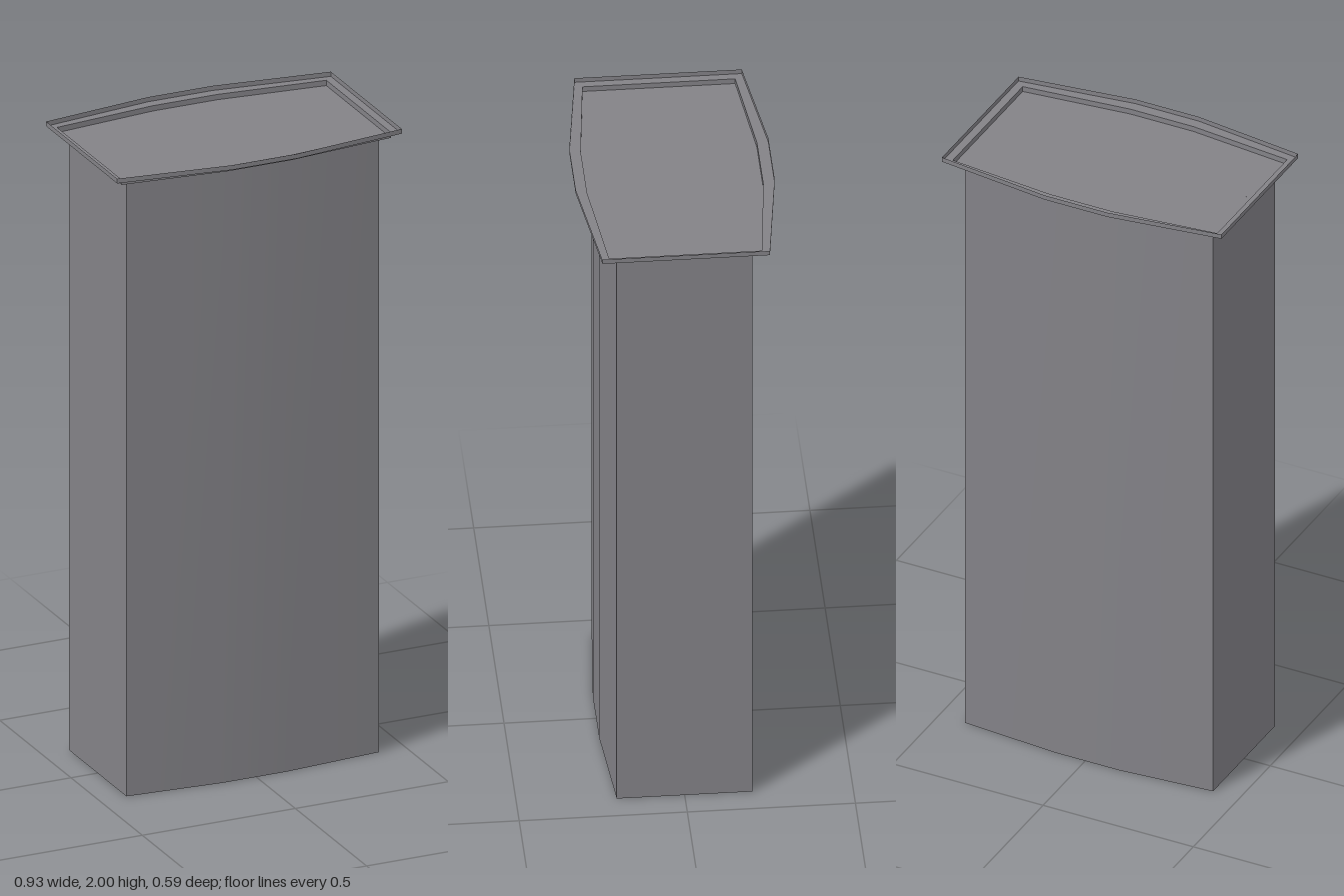
import * as THREE from 'three';
import { toCreasedNormals } from 'three/addons/utils/BufferGeometryUtils.js';

// Bowed outline: half width, half depth at the corners, half depth in the middle
const BODY = [0.413, 0.202, 0.226];
const STEP = [0.44, 0.227, 0.262];
const RIM = [0.465, 0.249, 0.296];

// Eight corners, anticlockwise when seen from above
function ring([w, d, m], y) {
  return [
    [w, d], [w, -d], [0.1, -m], [-0.11, -m],
    [-w, -d], [-w, d], [-0.11, m], [0.1, m],
  ].map(([x, z]) => new THREE.Vector3(x, y, z));
}

// Joins successive rings with quads facing outwards
function loft(rings) {
  const points = [];
  for (let r = 0; r < rings.length - 1; r++) {
    const a = rings[r], b = rings[r + 1];
    for (let i = 0; i < a.length; i++) {
      const j = (i + 1) % a.length;
      points.push(a[i], a[j], b[j], a[i], b[j], b[i]);
    }
  }
  return toCreasedNormals(new THREE.BufferGeometry().setFromPoints(points), 0.5);
}

// Flat polygon fan
function cap(points) {
  const tris = [];
  for (let i = 1; i < points.length - 1; i++) tris.push(points[0], points[i], points[i + 1]);
  const geometry = new THREE.BufferGeometry().setFromPoints(tris);
  geometry.computeVertexNormals();
  return geometry;
}

export function createModel() {
  const group = new THREE.Group();
  const stone = new THREE.MeshStandardMaterial({ color: 0x838287, side: THREE.DoubleSide });
  stone.name = 'grey stone';
  const dark = new THREE.MeshStandardMaterial({ color: 0x4d4d3d, side: THREE.DoubleSide });
  dark.name = 'dark olive';

  const add = (name, geometry, material) => {
    const mesh = new THREE.Mesh(geometry, material);
    mesh.name = name;
    group.add(mesh);
  };

  // Tall shaft
  add('shaft', loft([ring(BODY, 0), ring(BODY, 1.968)]), stone);

  // Stepped tray around the top
  add('steppedRim', loft([
    ring(BODY, 1.968), ring(STEP, 1.968), ring(STEP, 1.985),
    ring(RIM, 1.985), ring(RIM, 2),
  ]), stone);
  add('topPanel', cap(ring(BODY, 1.968)), stone);

  // Underside with a small rounded grey patch in one back corner
  add('underside', cap(ring(BODY, 0.002).reverse()), dark);
  const corner = new THREE.Vector3(-BODY[0], 0, -BODY[1]);
  const patch = [corner];
  for (let i = 0; i <= 8; i++) {
    const a = (i / 8) * Math.PI / 2;
    patch.push(corner.clone().add(new THREE.Vector3(0.12 * Math.cos(a), 0, 0.12 * Math.sin(a))));
  }
  add('undersidePatch', cap(patch), stone);

  return group;
}
